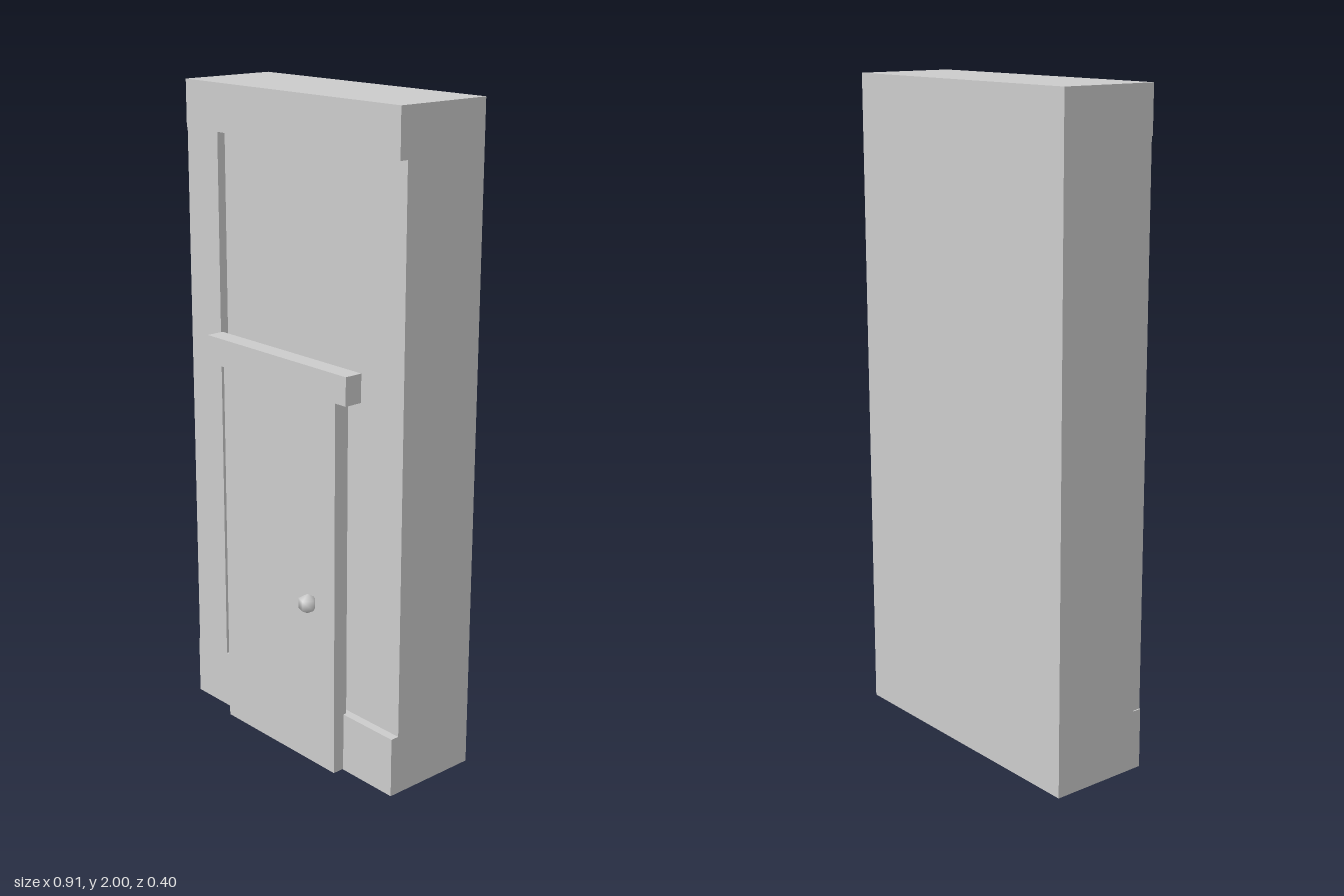
import * as THREE from 'three';

const material = new THREE.MeshStandardMaterial({ color: 0xcccccc });

// Box given by its extents on each axis
function block(name, [x0, x1], [y0, y1], [z0, z1]) {
  const mesh = new THREE.Mesh(new THREE.BoxGeometry(x1 - x0, y1 - y0, z1 - z0), material);
  mesh.position.set((x0 + x1) / 2, (y0 + y1) / 2, (z0 + z1) / 2);
  mesh.name = name;
  return mesh;
}

export function createModel() {
  const group = new THREE.Group();
  group.name = 'doorWall';

  // Wall with a recess between base and top, open on its left side
  const half = 0.457, back = -0.2, recess = 0.09, front = 0.117;
  const profile = new THREE.Shape([
    [back, 0], [front, 0], [front, 0.185], [recess, 0.185],
    [recess, 1.858], [front, 1.858], [front, 2], [back, 2],
  ].map(([z, y]) => new THREE.Vector2(-z, y)));
  const wallGeometry = new THREE.ExtrudeGeometry(profile, { depth: 2 * half, bevelEnabled: false });
  wallGeometry.rotateY(Math.PI / 2).translate(-half, 0, 0);
  const wall = new THREE.Mesh(wallGeometry, material);
  wall.name = 'wall';
  group.add(wall);

  // Upright filling the recess on the right, slightly set in from the edge
  group.add(block('sidePost', [-0.453, -0.31], [0.185, 1.858], [recess, front]));

  // Door leaf and the lintel above it
  group.add(block('door', [-0.25, 0.25], [0.002, 1.17], [0.106, 0.155]));
  group.add(block('lintel', [-0.31, 0.308], [1.17, 1.255], [0.11, 0.168]));

  // Five-sided rounded knob
  const knob = new THREE.Mesh(new THREE.SphereGeometry(0.031, 5, 3, Math.PI), material);
  knob.name = 'doorKnob';
  knob.position.set(0.152, 0.53, 0.174);
  group.add(knob);

  return group;
}
